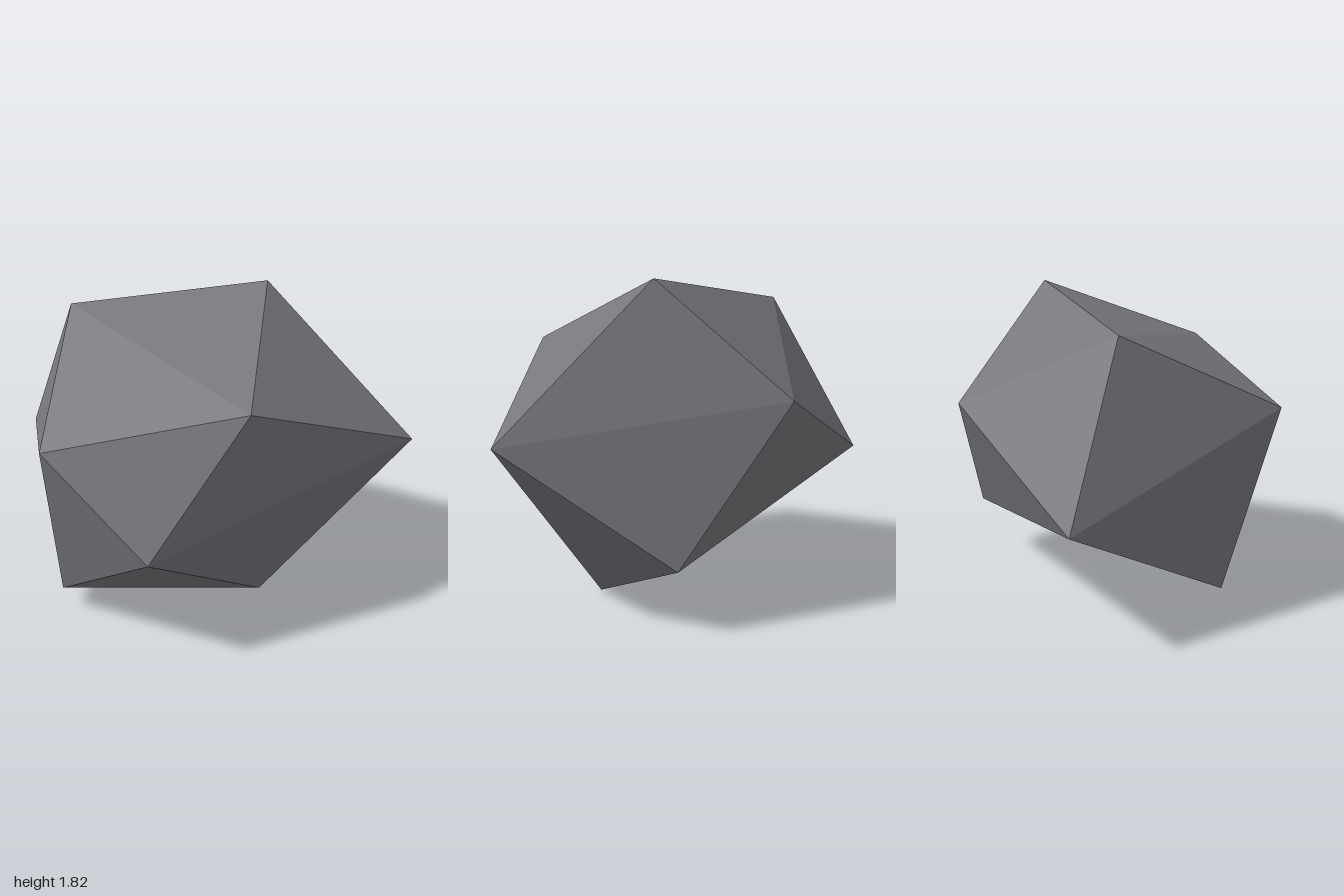
import * as THREE from 'three';
import { ConvexGeometry } from 'three/addons/geometries/ConvexGeometry.js';

export function createModel() {
  const model = new THREE.Group();
  model.name = 'rock';

  const stone = new THREE.MeshStandardMaterial({ color: 0x78777d });
  stone.name = 'stone grey';

  // Corners of the faceted boulder; their convex hull gives flat faces
  const corners = [
    // crown
    [0.54, 1.82, 0.21], [-0.36, 1.67, -0.47], [-0.16, 1.44, 0.93],
    // waist
    [-1, 1.2, 0.27], [0.66, 1.19, -0.53], [1, 1, 0.995],
    [-0.375, 0.73, -0.995], [-0.71, 0.7, 0.82],
    // foot
    [0.97, 0.355, 0.07], [-0.78, 0.135, 0.025], [0.29, 0, 0.55],
  ].map((p) => new THREE.Vector3(...p));

  const boulder = new THREE.Mesh(new ConvexGeometry(corners), stone);
  boulder.name = 'boulder';
  model.add(boulder);
  return model;
}
